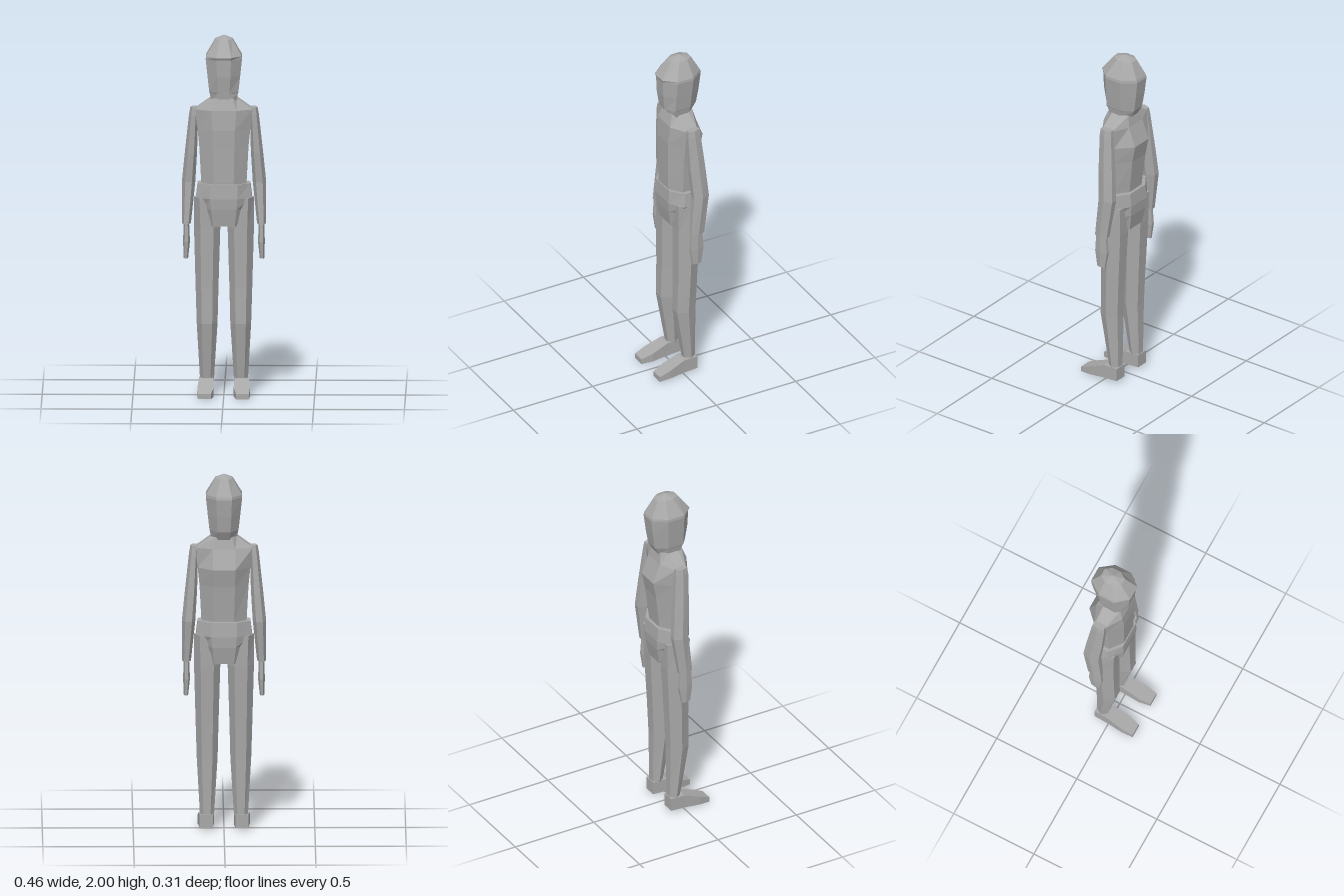
import * as THREE from 'three';

// Faceted skin through matching rings of points, closed at both ends
function loft(rings) {
  const pos = [];
  const tri = (...pts) => pts.forEach(p => pos.push(p[0], p[1], p[2]));
  const n = rings[0].length;
  for (let i = 0; i < rings.length - 1; i++) {
    for (let j = 0; j < n; j++) {
      const k = (j + 1) % n;
      const [a, b, c, d] = [rings[i][j], rings[i][k], rings[i + 1][k], rings[i + 1][j]];
      tri(a, b, c);
      tri(a, c, d);
    }
  }
  const first = rings[0], last = rings[rings.length - 1];
  for (let j = 1; j < n - 1; j++) {
    tri(first[0], first[j + 1], first[j]);
    tri(last[0], last[j], last[j + 1]);
  }
  const geo = new THREE.BufferGeometry();
  geo.setAttribute('position', new THREE.Float32BufferAttribute(pos, 3));
  geo.computeVertexNormals();
  return geo;
}

// Symmetric eight-sided ring: front corner, side corners, back corner
const oct = ([y, xf, zf, xs, zsf, zsb, xb, zb]) => [
  [xs, y, zsf], [xs, y, zsb], [xb, y, zb], [-xb, y, zb],
  [-xs, y, zsb], [-xs, y, zsf], [-xf, y, zf], [xf, y, zf]];

// Six-sided limb ring inside the given x and z limits
const hex = ([y, x0, x1, z0, z1]) => Array.from({ length: 6 }, (_, k) => {
  const a = k * Math.PI / 3;
  return [(x0 + x1) / 2 + (x1 - x0) / 2 * Math.cos(a), y,
    (z0 + z1) / 2 - (z1 - z0) / 2 * Math.sin(a) / Math.sin(Math.PI / 3)];
});

// Four-sided ring facing +z
const rect = ([z, x0, x1, y0, y1]) => [[x0, y0, z], [x1, y0, z], [x1, y1, z], [x0, y1, z]];

const flip = rings => rings.map(r => r.map(([x, y, z]) => [-x, y, z]).reverse());

export function createModel() {
  const group = new THREE.Group();
  const grey = new THREE.MeshStandardMaterial({ color: 0xa8a8a8 });
  grey.name = 'plain grey';
  const add = (name, rings) => {
    const mesh = new THREE.Mesh(loft(rings), grey);
    mesh.name = name;
    group.add(mesh);
  };
  const addPair = (name, rings) => {
    add(name + 'Left', rings);
    add(name + 'Right', flip(rings));
  };

  // Head with a close hood and a short brim over the face
  add('head', [
    [1.64, 0.03, 0.03, 0.07, 0.01, -0.06, 0.03, -0.105],
    [1.685, 0.03, 0.035, 0.078, 0.02, -0.07, 0.035, -0.13],
    [1.69, 0.03, 0.065, 0.08, 0.025, -0.07, 0.035, -0.132],
    [1.78, 0.037, 0.076, 0.09, 0.022, -0.075, 0.04, -0.146],
    [1.875, 0.04, 0.079, 0.1, 0.02, -0.08, 0.043, -0.157],
    [1.89, 0.042, 0.087, 0.098, 0.02, -0.08, 0.043, -0.153],
    [1.98, 0.022, 0.02, 0.047, -0.02, -0.068, 0.022, -0.105],
    [2.0, 0.001, -0.042, 0.002, -0.042, -0.044, 0.001, -0.044],
  ].map(oct));

  // Torso, from waist to the sloping shoulders
  add('torso', [
    [1.1, 0.055, 0.05, 0.12, 0.0, -0.06, 0.055, -0.11],
    [1.19, 0.055, 0.055, 0.125, 0.0, -0.06, 0.055, -0.115],
    [1.38, 0.058, 0.058, 0.135, 0.0, -0.07, 0.06, -0.137],
    [1.48, 0.06, 0.06, 0.145, -0.003, -0.075, 0.062, -0.157],
    [1.59, 0.07, 0.052, 0.16, -0.005, -0.07, 0.062, -0.115],
    [1.655, 0.05, 0.03, 0.07, -0.005, -0.065, 0.045, -0.1],
  ].map(oct));

  // Hips
  add('pelvis', [
    [0.945, 0.06, 0.045, 0.08, 0.01, -0.07, 0.055, -0.115],
    [1.04, 0.07, 0.06, 0.115, 0.01, -0.075, 0.065, -0.133],
    [1.1, 0.075, 0.065, 0.155, 0.005, -0.075, 0.07, -0.137],
    [1.18, 0.075, 0.06, 0.145, 0.0, -0.075, 0.07, -0.13],
  ].map(oct));

  // Arms, bent slightly at the elbow
  addPair('arm', [
    [0.95, 0.182, 0.232, -0.08, 0.0],
    [1.18, 0.158, 0.232, -0.113, -0.02],
    [1.35, 0.148, 0.215, -0.1, -0.008],
    [1.56, 0.142, 0.192, -0.08, -0.002],
    [1.6, 0.14, 0.185, -0.075, -0.005],
  ].map(hex));

  // Hands, tapering to the fingers
  addPair('hand', [
    [0.757, 0.197, 0.222, -0.063, -0.012],
    [0.85, 0.187, 0.225, -0.078, 0.002],
    [0.96, 0.192, 0.222, -0.07, -0.005],
  ].map(hex));

  // Legs
  addPair('leg', [
    [0.08, 0.055, 0.132, -0.08, -0.018],
    [0.4, 0.035, 0.15, -0.08, 0.035],
    [0.6, 0.03, 0.156, -0.088, 0.03],
    [0.93, 0.02, 0.165, -0.105, 0.03],
    [1.1, 0.04, 0.165, -0.108, 0.035],
  ].map(hex));

  // Wedge-shaped feet
  addPair('foot', [
    [-0.085, 0.062, 0.135, 0.015, 0.09],
    [0.0, 0.058, 0.138, 0.012, 0.09],
    [0.09, 0.055, 0.145, 0.005, 0.055],
    [0.155, 0.068, 0.14, 0.0, 0.03],
  ].map(rect));

  return group;
}
